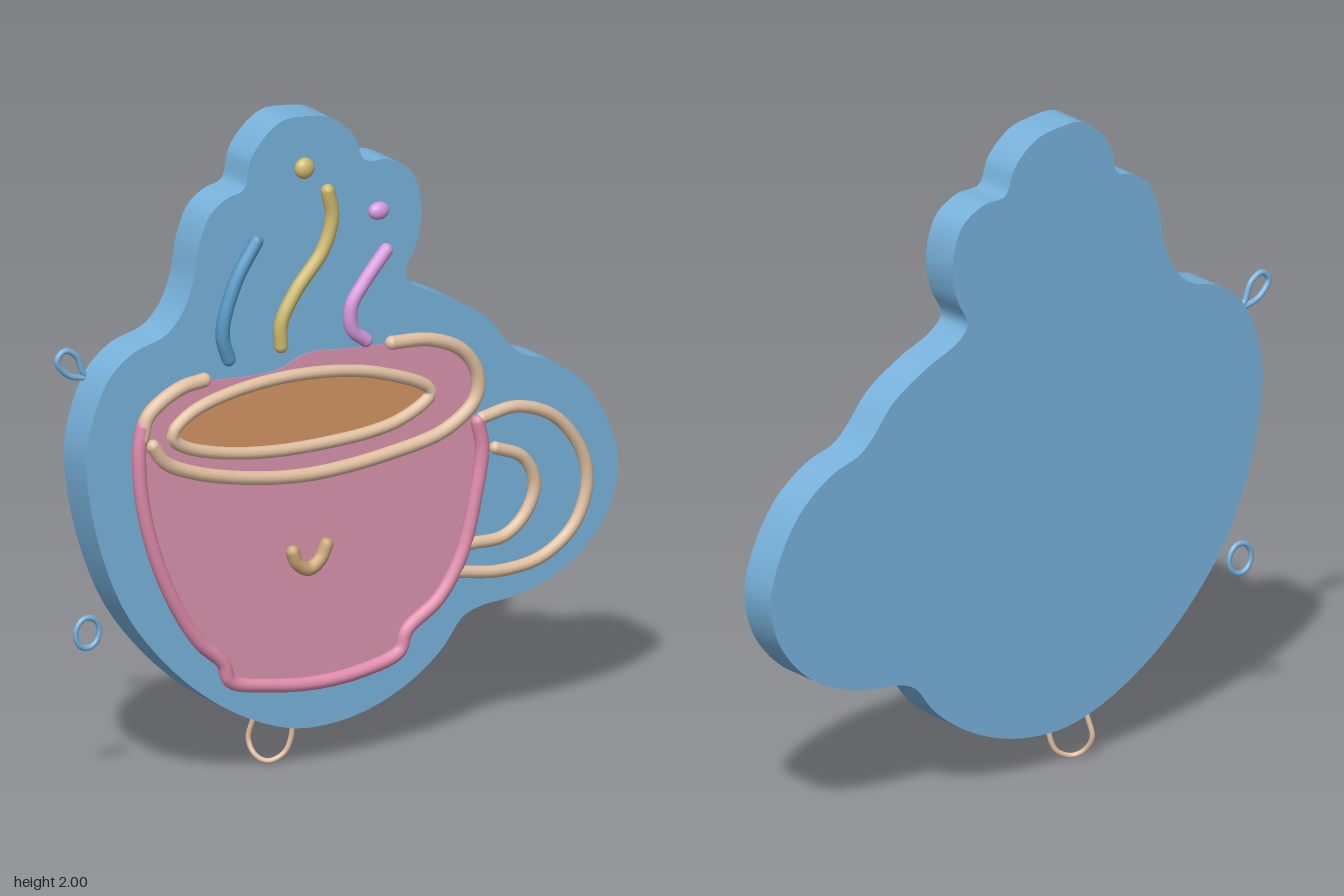
import * as THREE from 'three';
import { toCreasedNormals } from 'three/addons/utils/BufferGeometryUtils.js';

const mat = (name, color) => Object.assign(new THREE.MeshStandardMaterial({ color }), { name });

// Flat [x, y, x, y, ...] list to a smooth curve at depth z
function curve(xy, z = 0, closed = false) {
  const pts = [];
  for (let i = 0; i < xy.length; i += 2) pts.push(new THREE.Vector3(xy[i], xy[i + 1], z));
  return new THREE.CatmullRomCurve3(pts, closed, 'centripetal');
}

export function createModel() {
  const model = new THREE.Group();
  const blue = mat('plaque blue', 0x78b2dc);
  const deepBlue = mat('steam blue', 0x5598c4);
  const pink = mat('mug pink', 0xda94ae);
  const rose = mat('mug outline pink', 0xdf8cab);
  const tan = mat('rim tan', 0xdfbfa0);
  const orange = mat('drink orange', 0xd49462);
  const yellow = mat('steam yellow', 0xccb86a);
  const violet = mat('steam violet', 0xd598da);
  const brown = mat('smile brown', 0xc9a777);

  const add = (parent, name, geometry, material) => {
    const mesh = new THREE.Mesh(geometry, material);
    mesh.name = name;
    parent.add(mesh);
    return mesh;
  };

  // Extruded plate with a smooth outline and sharp front and back edges
  const plate = (name, xy, z, depth, material, samples) => {
    const pts = curve(xy, 0, true).getPoints(samples).slice(0, -1);
    const shape = new THREE.Shape(pts.map(p => new THREE.Vector2(p.x, p.y)));
    const geo = new THREE.ExtrudeGeometry(shape, { depth, bevelEnabled: false });
    geo.translate(0, 0, z);
    return add(model, name, toCreasedNormals(geo, 0.6), material);
  };

  // Raised cord with round ends
  const cord = (name, path, r, material) => {
    const group = new THREE.Group();
    group.name = name;
    const steps = path.points.length * 8;
    add(group, name + 'Tube', new THREE.TubeGeometry(path, steps, r, 12, path.closed), material);
    if (!path.closed) {
      for (const t of [0, 1]) {
        add(group, name + 'End', new THREE.SphereGeometry(r, 12, 8), material).position.copy(path.getPoint(t));
      }
    }
    model.add(group);
  };
  const Z = 0.068, R = 0.021;

  // Backing plaque
  plate('plaque', [
    -0.15, 2, -0.055, 1.98, 0.025, 1.91, 0.06, 1.83, 0.14, 1.82, 0.22, 1.77, 0.255, 1.66, 0.24, 1.55,
    0.2, 1.46, 0.235, 1.415, 0.35, 1.36, 0.475, 1.28, 0.55, 1.19, 0.6, 1.145, 0.695, 1.11, 0.81, 1.025,
    0.895, 0.89, 0.93, 0.76, 0.9, 0.625, 0.81, 0.51, 0.695, 0.44, 0.565, 0.405, 0.46, 0.395, 0.395, 0.37,
    0.325, 0.285, 0.22, 0.205, 0.085, 0.145, -0.045, 0.12, -0.18, 0.125, -0.335, 0.18, -0.495, 0.28,
    -0.64, 0.415, -0.76, 0.575, -0.84, 0.76, -0.885, 0.945, -0.895, 1.075, -0.875, 1.18, -0.82, 1.3,
    -0.735, 1.37, -0.625, 1.405, -0.57, 1.46, -0.53, 1.55, -0.51, 1.66, -0.47, 1.75, -0.415, 1.79,
    -0.355, 1.81, -0.33, 1.9, -0.27, 1.97, -0.215, 2,
  ], -0.08, 0.127, blue, 240);

  // Mug body: fill and outline
  const mug = [
    -0.715, 1.145, -0.727, 1.075, -0.717, 0.92, -0.67, 0.735, -0.6, 0.575, -0.52, 0.45, -0.44, 0.375,
    -0.415, 0.315, -0.285, 0.28, -0.125, 0.262, 0.035, 0.272, 0.165, 0.31, 0.19, 0.37, 0.3, 0.45,
    0.38, 0.575, 0.43, 0.76, 0.45, 0.89, 0.435, 0.97,
  ];
  const mugTop = [
    0.425, 1.04, 0.435, 1.115, 0.38, 1.2, 0.27, 1.25, 0.14, 1.255, 0.01, 1.262, -0.135, 1.272,
    -0.255, 1.235, -0.505, 1.245, -0.58, 1.245, -0.655, 1.21,
  ];
  plate('mugFill', [...mug, ...mugTop], 0.046, 0.004, pink, 180);
  cord('mugOutline', curve(mug, Z), R, rose);

  // Rim and drink
  cord('rimLeft', curve([-0.505, 1.255, -0.58, 1.245, -0.655, 1.21, -0.7, 1.17, -0.718, 1.11], Z), R + 0.001, tan);
  cord('rimRight', curve([
    0.14, 1.262, 0.27, 1.25, 0.38, 1.2, 0.435, 1.115, 0.425, 1.04, 0.325, 0.965, 0.14, 0.925,
    -0.14, 0.905, -0.36, 0.93, -0.55, 0.98, -0.64, 1.025, -0.68, 1.08,
  ], Z), R, tan);
  const drink = [
    -0.615, 1.1, -0.56, 1.155, -0.415, 1.2, -0.175, 1.217, 0.085, 1.18, 0.275, 1.09,
    0.165, 1.02, -0.14, 0.992, -0.415, 1.015, -0.58, 1.065,
  ];
  plate('drink', drink, 0.046, 0.008, orange, 90);
  cord('drinkRing', curve(drink, Z, true), 0.019, tan);

  // Handle
  cord('handleOuter', curve([
    0.45, 0.98, 0.565, 0.995, 0.695, 0.945, 0.79, 0.825, 0.81, 0.72, 0.765, 0.6, 0.655, 0.52, 0.51, 0.5, 0.365, 0.52,
  ], Z), 0.019, tan);
  cord('handleInner', curve([
    0.495, 0.88, 0.59, 0.835, 0.63, 0.75, 0.6, 0.665, 0.525, 0.605, 0.405, 0.6,
  ], Z), 0.019, tan);

  // Smile
  cord('smile', curve([-0.2, 0.675, -0.185, 0.64, -0.145, 0.615, -0.105, 0.64, -0.085, 0.68], Z), R, brown);

  // Steam wisps and droplets
  cord('steamLeft', curve([-0.325, 1.65, -0.39, 1.55, -0.435, 1.43, -0.44, 1.37, -0.42, 1.305], Z), R, deepBlue);
  cord('steamMiddle', curve([-0.08, 1.765, -0.065, 1.685, -0.095, 1.59, -0.19, 1.475, -0.24, 1.385, -0.24, 1.315], Z), R, yellow);
  cord('steamRight', curve([0.12, 1.55, 0.05, 1.47, 0, 1.395, 0.005, 1.325, 0.05, 1.285], Z), R, violet);
  for (const [name, x, y, rx, ry, m] of [
    ['dropletTop', -0.16, 1.848, 0.032, 0.032, yellow],
    ['dropletRight', 0.095, 1.675, 0.034, 0.027, violet],
  ]) {
    const drop = add(model, name, new THREE.SphereGeometry(1, 20, 14), m);
    drop.position.set(x, y, Z);
    drop.scale.set(rx, ry, 0.023);
  }

  // Hanging loops
  cord('loopUpper', curve([
    -0.82, 1.28, -0.885, 1.295, -0.925, 1.345, -0.9, 1.372, -0.86, 1.352, -0.835, 1.295,
  ], -0.07, true), 0.009, blue);
  const ring = add(model, 'loopLower', new THREE.TorusGeometry(0.041, 0.008, 10, 32), blue);
  ring.position.set(-0.823, 0.495, -0.065);
  ring.scale.y = 1.13;
  const hook = [[-0.25, 0.14, -0.07], [-0.26, 0.07, -0.083], [-0.25, 0.025, -0.058], [-0.22, 0.009, -0.036],
    [-0.175, 0.03, -0.022], [-0.155, 0.08, -0.014], [-0.155, 0.14, -0.01]];
  cord('loopBottom', new THREE.CatmullRomCurve3(hook.map(p => new THREE.Vector3(...p)), false, 'centripetal'), 0.008, tan);

  return model;
}
